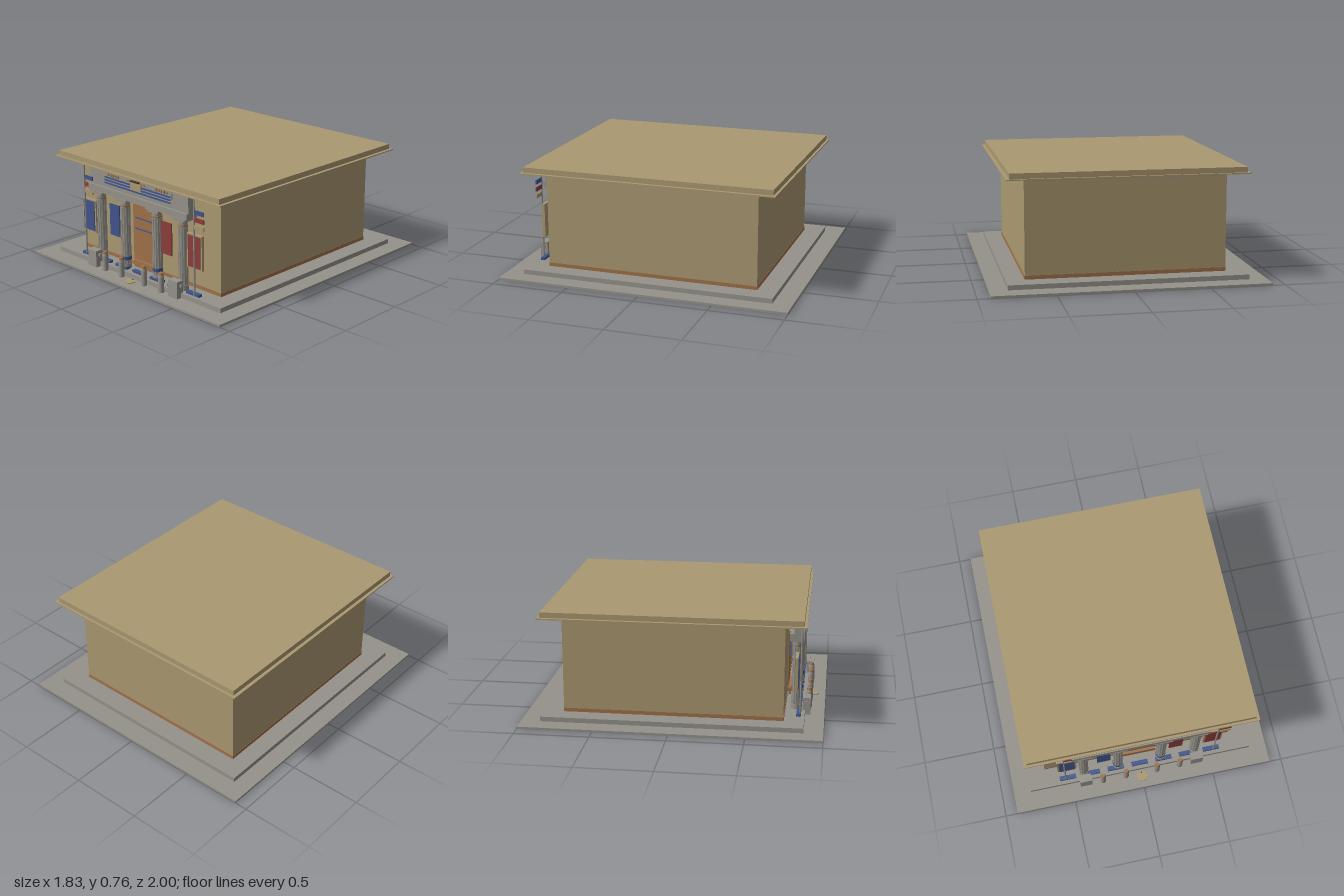
import * as THREE from 'three';

const mat = (name, color, side = THREE.FrontSide) => {
  const m = new THREE.MeshStandardMaterial({ color, side });
  m.name = name;
  return m;
};

export function createModel() {
  const stone = mat('grey stone', 0x95928a);
  const sand = mat('sandstone', 0xaa9870);
  const blue = mat('blue', 0x40558c);
  const red = mat('red', 0x8c3c3a);
  const bronze = mat('bronze', 0xa0714a);
  const dark = mat('dark metal', 0x3c3a36);

  const model = new THREE.Group();
  model.name = 'columnedHall';

  // Box given by its limits on each axis
  const box = (name, m, x0, x1, y0, y1, z0, z1, parent = model) => {
    const mesh = new THREE.Mesh(new THREE.BoxGeometry(x1 - x0, y1 - y0, z1 - z0), m);
    mesh.position.set((x0 + x1) / 2, (y0 + y1) / 2, (z0 + z1) / 2);
    mesh.name = name;
    parent.add(mesh);
    return mesh;
  };
  // Upright cylinder from y0 to y1
  const post = (name, m, x, z, r, y0, y1, parent = model, rTop = r, sides = 20) => {
    const mesh = new THREE.Mesh(new THREE.CylinderGeometry(rTop, r, y1 - y0, sides), m);
    mesh.position.set(x, (y0 + y1) / 2, z);
    mesh.name = name;
    parent.add(mesh);
    return mesh;
  };
  const group = (name) => {
    const g = new THREE.Group();
    g.name = name;
    model.add(g);
    return g;
  };

  // Plaza, step, walls and roof
  box('plaza', stone, -0.915, 0.915, 0, 0.015, -1, 1);
  box('step', stone, -0.795, 0.795, 0.015, 0.047, -0.87, 0.87);
  box('wallBase', bronze, -0.672, 0.672, 0.047, 0.072, -0.737, 0.737);
  box('walls', sand, -0.67, 0.67, 0.072, 0.69, -0.735, 0.735);
  box('wallTopBand', stone, -0.671, 0.671, 0.69, 0.716, -0.736, 0.736);
  box('eaves', sand, -0.797, 0.797, 0.716, 0.724, -0.875, 0.875);
  box('roof', sand, -0.775, 0.775, 0.724, 0.76, -0.858, 0.858);

  // Doorway with crossbars
  const door = group('doorway');
  box('door', bronze, -0.15, 0.13, 0.072, 0.51, 0.735, 0.742, door);
  box('threshold', bronze, -0.13, 0.13, 0.047, 0.095, 0.742, 0.76, door);
  box('lintel', stone, -0.13, 0.13, 0.504, 0.51, 0.742, 0.75, door);
  for (const y of [0.322, 0.398]) box('doorBar', blue, -0.125, 0.125, y - 0.003, y + 0.003, 0.742, 0.75, door);

  // Columns with flutes, rings and capitals
  for (const x of [-0.4, -0.155, 0.155, 0.4]) {
    const c = group('column');
    const inner = Math.abs(x) < 0.3;
    post('shaft', stone, x, 0.807, 0.031, 0.075, 0.525, c);
    for (let i = 0; i < 12; i++) {
      const a = i * Math.PI / 6;
      post('rib', stone, x + 0.029 * Math.cos(a), 0.807 + 0.029 * Math.sin(a), 0.005, 0.075, 0.48, c, 0.005, 6);
    }
    post('columnFoot', stone, x, 0.807, 0.036, 0.047, 0.08, c);
    post('neckRing', bronze, x, 0.807, 0.0345, 0.487, 0.495, c);
    if (inner) post('blueBand', blue, x, 0.807, 0.0355, 0.108, 0.132, c);
    box('capital', stone, x - 0.048, x + 0.048, 0.522, 0.545, 0.763, 0.85, c);
    box('capitalTop', stone, x - 0.062, x + 0.062, 0.533, 0.547, 0.76, 0.853, c);
  }

  // Beam and frieze over the columns
  const front = group('entablature');
  box('beam', stone, -0.48, 0.48, 0.545, 0.588, 0.757, 0.85, front);
  box('frieze', stone, -0.48, 0.48, 0.588, 0.716, 0.785, 0.835, front);
  for (const y of [0.622, 0.642, 0.662]) box('blueStripe', blue, -0.32, 0.318, y - 0.005, y + 0.005, 0.835, 0.841, front);
  for (const s of [-1, 1]) {
    for (let i = 0; i < 5; i++) {
      const x = s * (0.185 + i * 0.025);
      box('goldTab', bronze, x - 0.006, x + 0.006, 0.674, 0.692, 0.835, 0.84, front);
    }
  }
  box('goldBar', bronze, -0.1, 0.08, 0.68, 0.69, 0.835, 0.84, front);
  box('crest', sand, -0.055, 0.05, 0.632, 0.68, 0.841, 0.848, front);
  box('crestRod', dark, -0.04, 0.04, 0.695, 0.702, 0.835, 0.865, front);
  box('friezeRail', stone, -0.2, 0.335, 0.695, 0.7, 0.835, 0.842, front);
  box('friezeRailEnd', stone, 0.33, 0.335, 0.65, 0.7, 0.835, 0.842, front);

  // Hanging panels: framed outside, plain inside
  for (const [s, m] of [[-1, blue], [1, red]]) {
    const x = s * 0.516;
    box('panelFrame', sand, x - 0.067, x + 0.067, 0.22, 0.455, 0.8, 0.82);
    box('panelFace', m, x - 0.055, x + 0.055, 0.231, 0.445, 0.82, 0.825);
    box('banner', m, s * 0.255 - 0.048, s * 0.255 + 0.048, 0.25, 0.473, 0.81, 0.818);
  }

  // Poles with three flags each
  for (const x of [-0.535, 0.535]) {
    const p = group('flagPole');
    post('pole', stone, x, 0.84, 0.006, 0.047, 0.712, p, 0.006, 10);
    [[0.617, blue], [0.567, red], [0.518, sand]].forEach(([y, m]) =>
      box('flag', m, x + 0.004, x + 0.088, y - 0.014, y + 0.014, 0.836, 0.844, p));
  }

  // Row of low blue planters
  for (let i = -3; i <= 3; i++) {
    const x = i * 0.1733;
    box('planter', blue, x - 0.058, x + 0.058, 0.047, 0.064, 0.815, 0.845);
  }

  // Pedestals and bollards before the step
  for (const s of [-1, 1]) {
    const p = group('pedestal');
    box('pedestalBlock', stone, s * 0.4 - 0.042, s * 0.4 + 0.042, 0.015, 0.132, 0.853, 0.906, p);
    box('pedestalArm', stone, s * 0.4 - 0.056, s * 0.4 + 0.056, 0.093, 0.108, 0.865, 0.885, p);
    for (const x of [0.112, 0.278]) {
      const b = group('bollard');
      post('bollardBody', stone, s * x, 0.893, 0.02, 0.015, 0.12, b);
      post('bollardNeck', stone, s * x, 0.893, 0.02, 0.12, 0.137, b, 0.017);
      post('bollardCap', bronze, s * x, 0.893, 0.017, 0.137, 0.152, b, 0.014);
    }
  }

  // Round inlay in the paving
  post('pavingInlay', sand, 0, 0.918, 0.037, 0.015, 0.021, model, 0.037, 24);
  post('inlayStud', dark, 0, 0.893, 0.005, 0.021, 0.024, model, 0.005, 8);

  return model;
}
